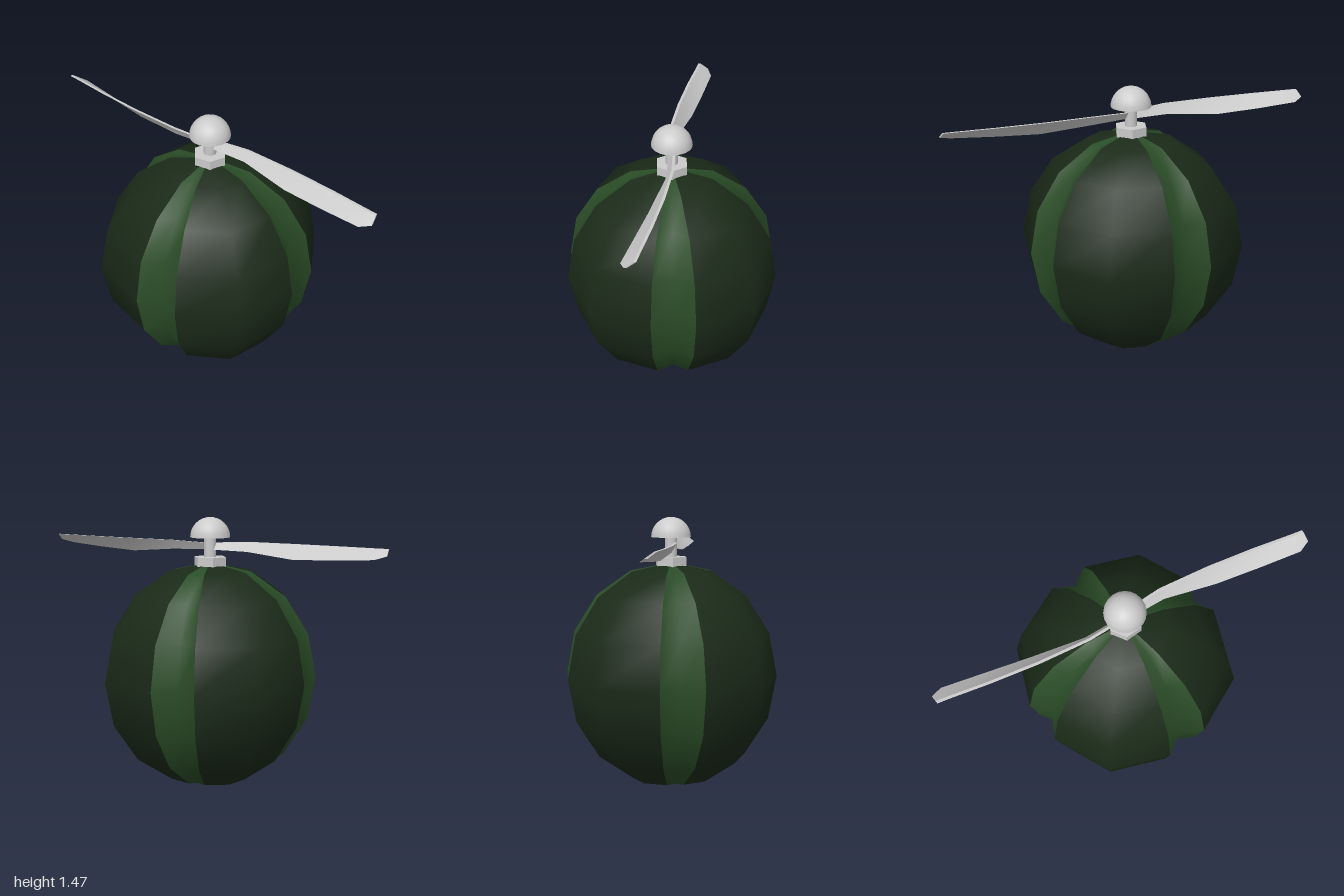
import * as THREE from 'three';
import { toCreasedNormals } from 'three/addons/utils/BufferGeometryUtils.js';

const grey = new THREE.MeshStandardMaterial({ color: 0xcccccc });
const darkRind = new THREE.MeshStandardMaterial({ color: 0x1a2a18 });
const greenRind = new THREE.MeshStandardMaterial({ color: 0x2a4c27 });

function add(group, name, geometry, material, y = 0) {
  const mesh = new THREE.Mesh(geometry, material);
  mesh.name = name;
  mesh.position.y = y;
  group.add(mesh);
  return mesh;
}

function indexed(positions, index) {
  const g = new THREE.BufferGeometry();
  g.setAttribute('position', new THREE.Float32BufferAttribute(positions, 3));
  g.setIndex(index);
  g.computeVertexNormals();
  return g;
}

// A strip of rind from bottom pole to top pole, following [x, z] points at the equator
function rindStrip(points) {
  const rings = 8, R = 0.615, n = points.length, pos = [], idx = [];
  for (let j = 0; j <= rings; j++) {
    const t = -Math.PI / 2 + (j / rings) * Math.PI;
    for (const [x, z] of points) pos.push(x * Math.cos(t), R + R * Math.sin(t), z * Math.cos(t));
  }
  for (let j = 0; j < rings; j++) {
    for (let i = 0; i < n - 1; i++) {
      const a = j * n + i, b = a + 1, c = b + n, d = a + n;
      if (j > 0) idx.push(a, b, c);
      if (j < rings - 1) idx.push(a, c, d);
      else if (j === rings - 1) idx.push(a, b, d);
      if (j === 0) idx.push(b, c, a);
    }
  }
  return indexed(pos, idx);
}

// Thin twisted blade lofted through stations of [x, y, z] for the upper and lower edge
function bladeGeometry() {
  const t = 0.015;
  const stations = [
    [[0, 1.335, -0.02], [0, 1.30, 0.015]],
    [[0.22, 1.345, -0.01], [0.22, 1.295, 0.035]],
    [[0.49, 1.345, 0.04], [0.49, 1.27, 0.12]],
    [[0.74, 1.345, 0.1], [0.72, 1.28, 0.185]],
    [[0.94, 1.345, 0.155], [0.94, 1.295, 0.245]],
    [[1, 1.345, 0.17], [1, 1.313, 0.228]],
  ];
  const pos = [], idx = [];
  for (const [u, l] of stations) {
    pos.push(u[0], u[1], u[2] + t, ...u, l[0], l[1], l[2] - t, ...l);
  }
  const last = stations.length - 1;
  for (let s = 0; s < last; s++) {
    for (let k = 0; k < 4; k++) {
      const a = s * 4 + k, d = s * 4 + (k + 1) % 4;
      idx.push(a, a + 4, d + 4, a, d + 4, d);
    }
  }
  const e = last * 4;
  idx.push(e, e + 3, e + 2, e, e + 2, e + 1);
  return toCreasedNormals(indexed(pos, idx), 0.6);
}

export function createModel() {
  const model = new THREE.Group();
  model.name = 'propellerMelon';

  // Melon: four dark panels separated by four V-shaped green grooves
  const melon = new THREE.Group();
  melon.name = 'melon';
  model.add(melon);
  const groove = rindStrip([[-0.117, 0.566], [0, 0.5], [0.117, 0.566]]);
  const panel = rindStrip([[0.117, 0.566], [0.433, 0.433], [0.566, 0.117]]);
  for (let i = 0; i < 4; i++) {
    add(melon, 'groove', groove, greenRind).rotation.y = i * Math.PI / 2;
    add(melon, 'rindPanel', panel, darkRind).rotation.y = i * Math.PI / 2;
  }

  // Hexagonal collar and shaft
  const collar = new THREE.CylinderGeometry(0.09, 0.09, 0.1, 6);
  collar.rotateY(Math.PI / 2);
  add(model, 'collar', toCreasedNormals(collar, 0.6), grey, 1.21);
  add(model, 'shaft', new THREE.CylinderGeometry(0.033, 0.033, 0.14, 12), grey, 1.31);

  // Domed cap with a closed underside
  const dome = [new THREE.Vector2(0, 0)];
  for (let i = 0; i <= 8; i++) {
    const a = (i / 8) * Math.PI / 2;
    dome.push(new THREE.Vector2(0.108 * Math.cos(a), 0.108 * Math.sin(a)));
  }
  add(model, 'cap', toCreasedNormals(new THREE.LatheGeometry(dome, 20), 0.7), grey, 1.365);

  // Two blades, half a turn apart
  const blade = bladeGeometry();
  add(model, 'leftBlade', blade, grey);
  add(model, 'rightBlade', blade, grey).rotation.y = Math.PI;

  return model;
}
